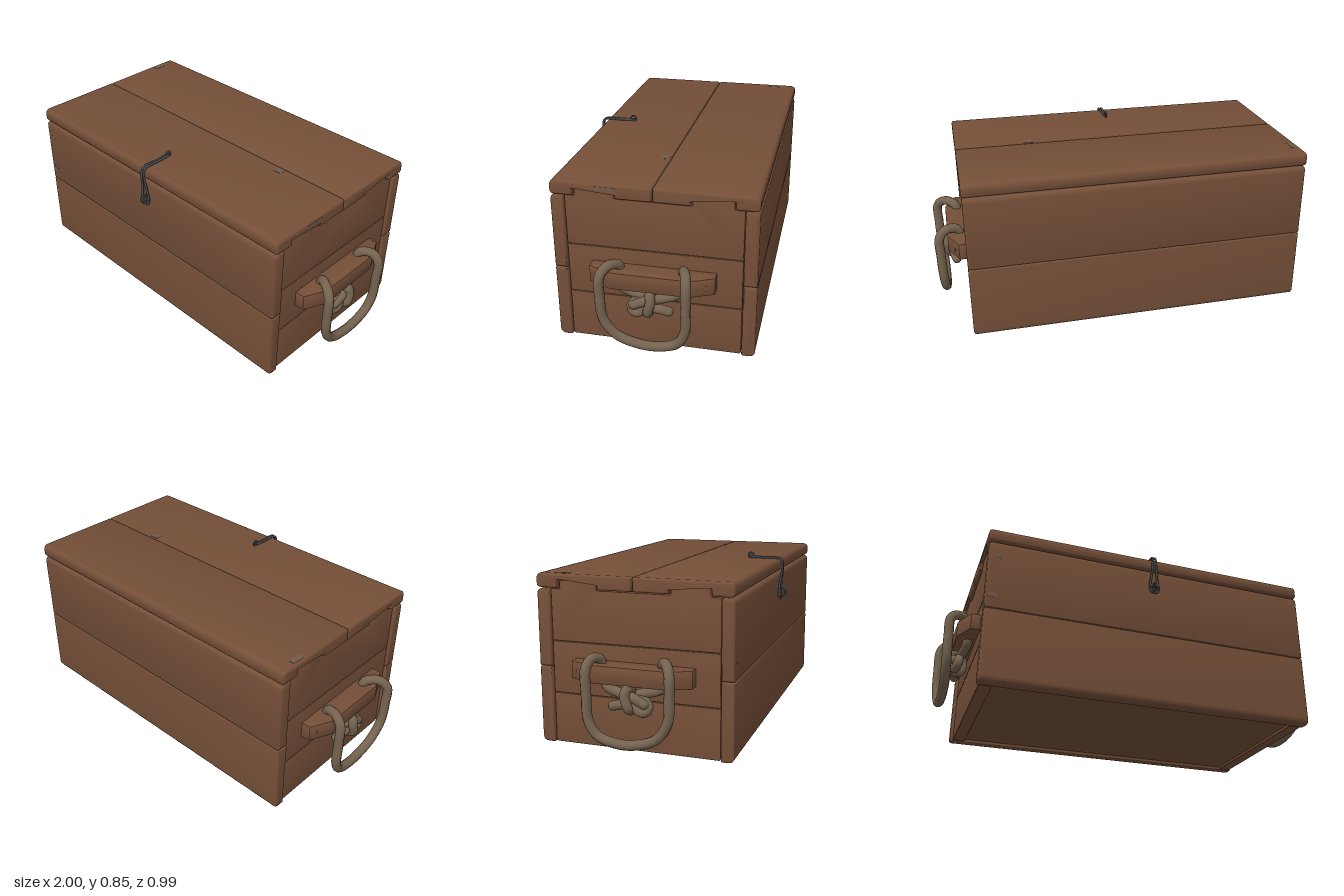
import * as THREE from 'three';
import { toCreasedNormals } from 'three/addons/utils/BufferGeometryUtils.js';

const wood = new THREE.MeshStandardMaterial({ color: 0x754f38 });
wood.name = 'brown wood';
const rope = new THREE.MeshStandardMaterial({ color: 0x75634f });
rope.name = 'hemp rope';
const iron = new THREE.MeshStandardMaterial({ color: 0x4a4c50 });
iron.name = 'dark iron';
const scuff = new THREE.MeshStandardMaterial({ color: 0x70594a });
scuff.name = 'worn wood';

const V = (p) => new THREE.Vector3(...p);

function add(parent, name, geometry, material, x = 0, y = 0, z = 0) {
  const mesh = new THREE.Mesh(geometry, material);
  mesh.name = name;
  mesh.position.set(x, y, z);
  parent.add(mesh);
  return mesh;
}

// Closed outline from [a, b, cornerRadius] points
function roundedShape(pts) {
  const shape = new THREE.Shape();
  const n = pts.length;
  pts.forEach(([a, b, r], i) => {
    const corner = new THREE.Vector2(a, b);
    const towards = (q) => new THREE.Vector2(q[0], q[1]).sub(corner).setLength(r).add(corner);
    const start = towards(pts[(i + n - 1) % n]);
    const end = towards(pts[(i + 1) % n]);
    if (i === 0) shape.moveTo(start.x, start.y);
    else shape.lineTo(start.x, start.y);
    shape.quadraticCurveTo(a, b, end.x, end.y);
  });
  shape.closePath();
  return shape;
}

// Plank with a [z, y, radius] profile running from x0 to x1
function plank(profile, x0, x1, bevel) {
  const geo = new THREE.ExtrudeGeometry(roundedShape(profile.map(([z, y, r]) => [-z, y, r])), {
    depth: x1 - x0 - 2 * bevel, curveSegments: 4,
    bevelEnabled: true, bevelThickness: bevel, bevelSize: bevel, bevelOffset: -bevel, bevelSegments: 3,
  });
  geo.rotateY(Math.PI / 2).translate(x0 + bevel, 0, 0);
  return toCreasedNormals(geo, 0.7);
}

const rect = (z0, z1, y0, y1, r00, r10, r11, r01) =>
  [[z0, y0, r00], [z1, y0, r10], [z1, y1, r11], [z0, y1, r01]];

function tube(points, radius, sides, segments, closed = false) {
  return new THREE.TubeGeometry(new THREE.CatmullRomCurve3(points.map(V), closed), segments, radius, sides, closed);
}

function buildBody(root) {
  // Front and back walls, two boards each, rounded on the outside
  for (const [name, inner, outer] of [['front', 0.393, 0.455], ['back', -0.431, -0.495]]) {
    add(root, name + 'LowerBoard', plank(rect(inner, outer, 0.003, 0.374, 0.008, 0.03, 0.006, 0.004), -0.852, 0.852, 0.012), wood);
    add(root, name + 'UpperBoard', plank(rect(inner, outer, 0.377, 0.745, 0.004, 0.006, 0.025, 0.008), -0.852, 0.852, 0.012), wood);
  }
  // End walls, three boards each; the top one has two tabs
  const topProfile = [
    [0.39, 0.501, 0.003], [0.39, 0.745, 0.004],
    [0.343, 0.745, 0.004], [0.343, 0.785, 0.012], [0.158, 0.785, 0.012], [0.158, 0.745, 0.004],
    [-0.197, 0.745, 0.004], [-0.197, 0.785, 0.012], [-0.383, 0.785, 0.012], [-0.383, 0.745, 0.004],
    [-0.428, 0.745, 0.004], [-0.428, 0.501, 0.003],
  ];
  for (const [name, x0, x1] of [['left', 0.775, 0.838], ['right', -0.838, -0.775]]) {
    const lower = rect(-0.428, 0.39, 0.006, 0.249, 0.01, 0.01, 0.003, 0.003);
    const middle = rect(-0.428, 0.39, 0.251, 0.499, 0.003, 0.003, 0.003, 0.003);
    [lower, middle, topProfile].forEach((p, i) =>
      add(root, name + 'End' + ['Lower', 'Middle', 'Upper'][i] + 'Board', plank(p, x0, x1, 0.003), wood));
  }
  add(root, 'floor', new THREE.BoxGeometry(1.57, 0.03, 0.84), wood, 0, 0.035, -0.02);
}

function buildLid(root) {
  // Two boards notched underneath for the tabs of the end walls
  const lidBoard = (inner, outer, n0, n1) => [
    [inner, 0.75, 0.006], [n0, 0.75, 0.006], [n0, 0.789, 0.008], [n1, 0.789, 0.008],
    [n1, 0.75, 0.006], [outer, 0.75, 0.02], [outer, 0.818, 0.028], [inner, 0.818, 0.008],
  ];
  add(root, 'lidFrontBoard', plank(lidBoard(-0.018, 0.455, 0.153, 0.348), -0.855, 0.855, 0.012), wood);
  add(root, 'lidBackBoard', plank(lidBoard(-0.021, -0.495, -0.192, -0.388), -0.855, 0.855, 0.012), wood);
}

function buildHandle(root, s) {
  const handle = new THREE.Group();
  handle.name = s > 0 ? 'leftHandle' : 'rightHandle';
  root.add(handle);

  // Cleat with chamfered ends
  const outline = [[0.83, -0.31], [0.885, -0.31], [0.935, -0.2], [0.935, 0.165], [0.885, 0.275], [0.83, 0.275]];
  const cleat = new THREE.ExtrudeGeometry(roundedShape(outline.map(([x, z]) => [s * x, -z, 0.006])), {
    depth: 0.075, curveSegments: 2, bevelThickness: 0.005, bevelSize: 0.005, bevelOffset: -0.005, bevelSegments: 2,
  });
  cleat.rotateX(-Math.PI / 2).translate(0, 0.345, 0);
  add(handle, 'cleat', toCreasedNormals(cleat, 0.6), wood);

  // Rope loop over the cleat, tied underneath it
  const path = [
    [0.9, 0.235, -0.1], [0.91, 0.25, -0.05], [0.915, 0.25, 0.005], [0.915, 0.22, 0.04], [0.905, 0.235, 0.075],
    [0.9, 0.27, 0.06], [0.9, 0.295, 0.01], [0.885, 0.305, 0.06], [0.875, 0.33, 0.13], [0.87, 0.38, 0.135],
    [0.88, 0.44, 0.135], [0.93, 0.457, 0.17], [0.972, 0.425, 0.197], [0.976, 0.32, 0.2], [0.972, 0.2, 0.188],
    [0.965, 0.12, 0.13], [0.962, 0.083, 0.03], [0.962, 0.08, -0.06], [0.965, 0.11, -0.15], [0.972, 0.18, -0.19],
    [0.976, 0.3, -0.195], [0.972, 0.42, -0.195], [0.935, 0.455, -0.185], [0.88, 0.44, -0.165], [0.87, 0.38, -0.16],
    [0.878, 0.32, -0.14], [0.89, 0.295, -0.07], [0.92, 0.29, 0], [0.915, 0.26, 0.06],
  ].map(([x, y, z]) => [s * x, y, z]);
  add(handle, 'ropeLoop', tube(path, 0.0235, 10, 130), rope);
  for (const end of [path[0], path[path.length - 1]]) {
    add(handle, 'ropeEnd', new THREE.SphereGeometry(0.0235, 10, 6), rope, ...end);
  }
  const wrap = [[0.94, 0.3, -0.025], [0.93, 0.325, -0.02], [0.89, 0.32, -0.02], [0.87, 0.27, -0.02], [0.89, 0.225, -0.01], [0.935, 0.24, -0.01]];
  add(handle, 'knotWrap', tube(wrap.map(([x, y, z]) => [s * x, y, z]), 0.0235, 10, 40, true), rope);
}

function buildLatch(root) {
  const latch = new THREE.Group();
  latch.name = 'latch';
  root.add(latch);
  // Doubled wire over the lid edge, opening into a teardrop
  const half = [
    [0.005, 0.826, 0.3], [0.006, 0.823, 0.38], [0.007, 0.824, 0.44], [0.007, 0.815, 0.467],
    [0.009, 0.78, 0.475], [0.014, 0.71, 0.468], [0.023, 0.645, 0.464], [0.018, 0.615, 0.467],
  ];
  const path = [...half, [0, 0.608, 0.468], ...half.slice().reverse().map(([x, y, z]) => [-x, y, z])];
  add(latch, 'wireHook', tube(path, 0.006, 8, 100), iron);
  // Eyes on the lid and the front wall
  const eye = (name, radius, y, z) =>
    add(latch, name, new THREE.TorusGeometry(radius, 0.005, 8, 20), iron, 0, y, z).rotation.y = Math.PI / 2;
  eye('lidEye', 0.014, 0.832, 0.305);
  eye('wallEye', 0.021, 0.642, 0.473);
  const pin = add(latch, 'crossPin', new THREE.CylinderGeometry(0.005, 0.005, 0.056, 8), iron, 0, 0.64, 0.468);
  pin.rotation.z = Math.PI / 2;
}

function buildWear(root) {
  // Thin worn patches and nail heads
  add(root, 'lidScuff', new THREE.BoxGeometry(0.03, 0.002, 0.07), scuff, -0.825, 0.818, -0.37);
  add(root, 'lidScuff', new THREE.BoxGeometry(0.045, 0.002, 0.04), scuff, 0.48, 0.818, 0.008);
  add(root, 'lidEndScuff', new THREE.BoxGeometry(0.002, 0.016, 0.1), scuff, 0.855, 0.797, 0.2);
  add(root, 'wallScuff', new THREE.BoxGeometry(0.04, 0.025, 0.002), scuff, -0.82, 0.445, 0.455);
  add(root, 'nailHead', new THREE.BoxGeometry(0.02, 0.02, 0.002), scuff, -0.8, 0.66, 0.455);
  for (const s of [1, -1]) add(root, 'cleatNail', new THREE.BoxGeometry(0.003, 0.014, 0.014), scuff, s * 0.902, 0.383, -0.27);
}

export function createModel() {
  const root = new THREE.Group();
  root.name = 'woodenChest';
  buildBody(root);
  buildLid(root);
  buildHandle(root, 1);
  buildHandle(root, -1);
  buildLatch(root);
  buildWear(root);
  return root;
}
